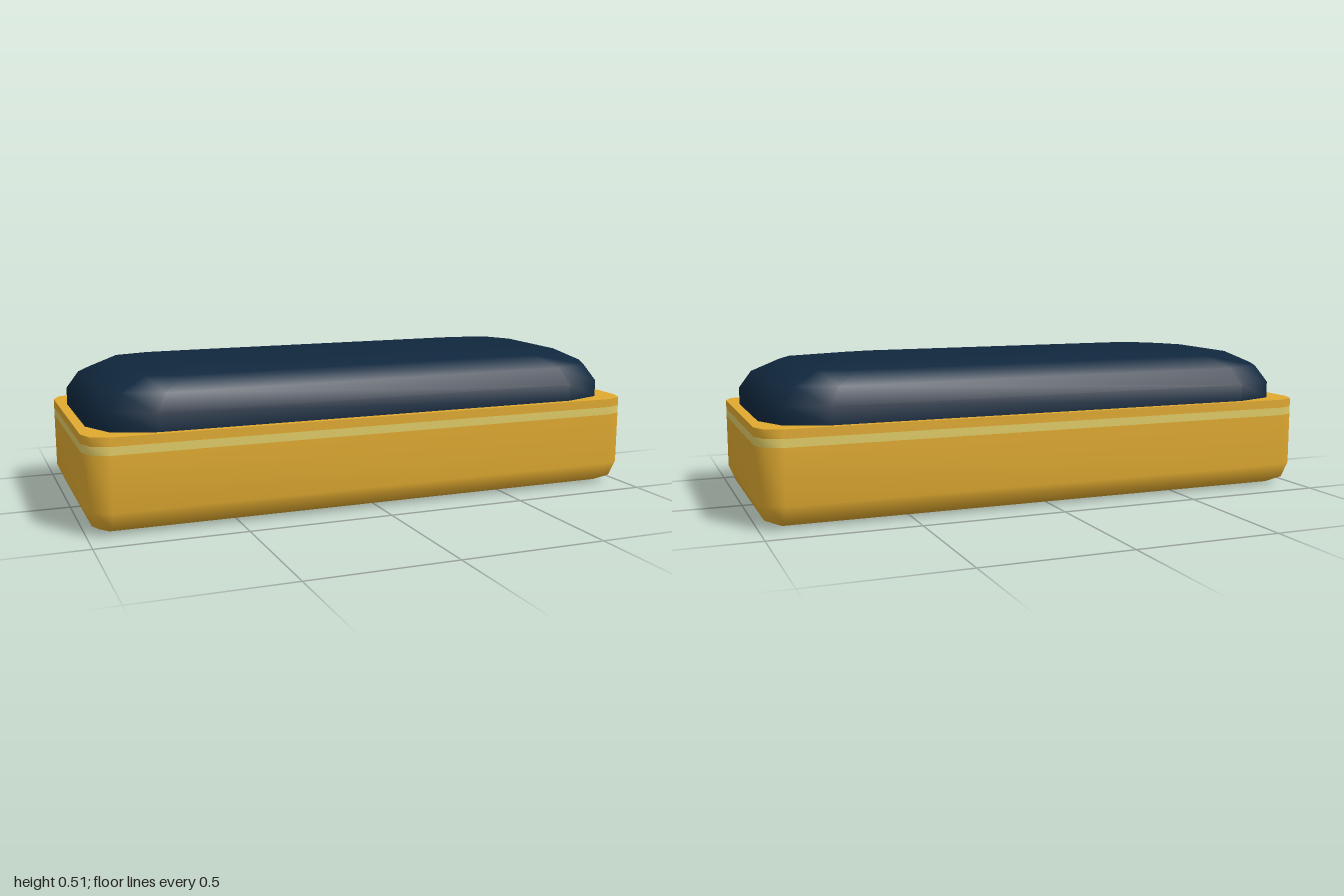
import * as THREE from 'three';
import { mergeVertices } from 'three/addons/utils/BufferGeometryUtils.js';

const STEPS = 2; // segments per rounded corner

// Rounded rectangle at height y: half sizes hx, hz and corner radii rx, rz
function ring(y, hx, hz, rx, rz) {
  const points = [];
  for (let corner = 0; corner < 4; corner++) {
    const sx = corner === 0 || corner === 3 ? 1 : -1;
    const sz = corner < 2 ? 1 : -1;
    for (let s = 0; s <= STEPS; s++) {
      const a = (corner + s / STEPS) * Math.PI / 2;
      points.push([sx * (hx - rx) + rx * Math.cos(a), y, sz * (hz - rz) + rz * Math.sin(a)]);
    }
  }
  return points;
}

// A ring shrunk to its centre closes an end
const centre = (y) => ring(y, 0, 0, 0, 0);

// Smooth skin through rings, listed from bottom to top
function loft(name, material, rings) {
  const n = rings[0].length;
  const index = [];
  for (let r = 0; r < rings.length - 1; r++) {
    for (let i = 0; i < n; i++) {
      const j = (i + 1) % n;
      const a = r * n + i, b = r * n + j, c = b + n, d = a + n;
      index.push(a, d, c, a, c, b);
    }
  }
  let geometry = new THREE.BufferGeometry();
  geometry.setAttribute('position', new THREE.Float32BufferAttribute(rings.flat(2), 3));
  geometry.setIndex(index);
  geometry = mergeVertices(geometry, 1e-5);
  geometry.computeVertexNormals();
  const mesh = new THREE.Mesh(geometry, material);
  mesh.name = name;
  return mesh;
}

export function createModel() {
  const model = new THREE.Group();
  model.name = 'paddedBlock';
  const gold = new THREE.MeshStandardMaterial({ name: 'gold', color: 0xe0aa30 });
  const paleYellow = new THREE.MeshStandardMaterial({ name: 'paleYellow', color: 0xe0cc66 });
  const navy = new THREE.MeshStandardMaterial({ name: 'navy', color: 0x10273d });

  // Base with rounded lower edges and corners
  const R = 0.08, HX = 1, HZ = 0.415;
  const outline = (y, inset = 0) => ring(y, HX - inset, HZ - inset, R - inset, R - inset);
  const cut = R * (1 - Math.SQRT1_2);
  model.add(
    loft('baseBody', gold, [centre(0), outline(0, R), outline(cut, cut), outline(R), outline(0.267)]),
    loft('stripe', paleYellow, [outline(0.267), outline(0.295)]),
    loft('baseRim', gold, [outline(0.295), outline(0.325)]),
    loft('baseTop', gold, [outline(0.325), centre(0.325)]),
  );

  // Domed pad: [height, half width, half depth]
  const profile = [
    [0.325, 0.967, 0.39],
    [0.385, 0.967, 0.39],
    [0.445, 0.925, 0.363],
    [0.489, 0.828, 0.301],
    [0.507, 0.632, 0.172],
  ];
  const padRings = profile.map(([y, hx, hz]) => ring(y, hx, hz, hx * 0.21, hz * 0.45));
  model.add(loft('pad', navy, [...padRings, centre(0.507)]));
  return model;
}
